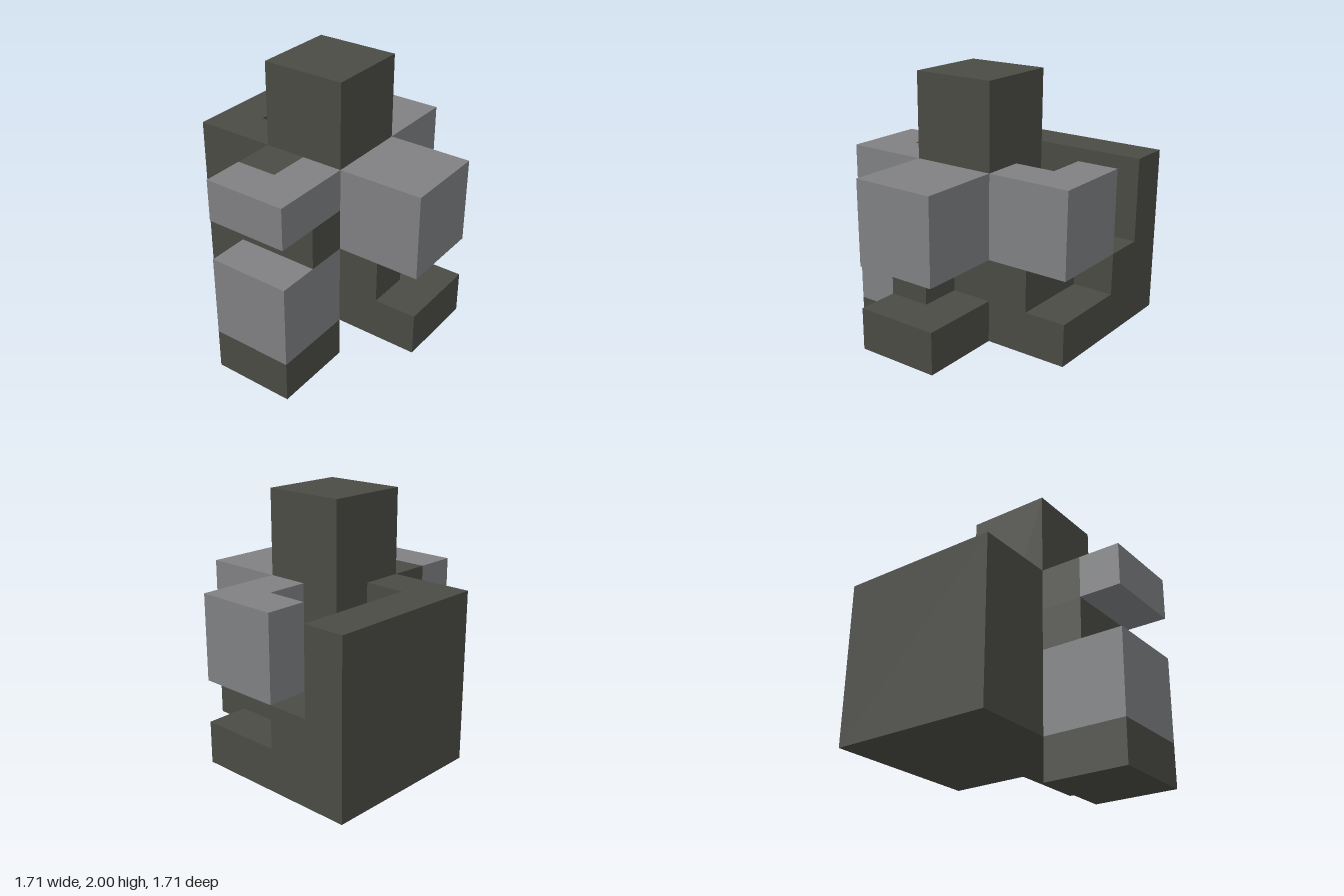
import * as THREE from 'three';

// One grid cell: the model is 6 x 7 x 6 cells
const U = 2 / 7;

export function createModel() {
  const root = new THREE.Group();
  root.name = 'interlockingBlocks';

  const charcoal = new THREE.MeshStandardMaterial({ color: 0x4b4b45 });
  charcoal.name = 'charcoal';
  const grey = new THREE.MeshStandardMaterial({ color: 0x808183 });
  grey.name = 'grey';

  // Box spanning from one grid corner to the opposite one
  function block(parent, name, material, [x0, y0, z0], [x1, y1, z1]) {
    const geometry = new THREE.BoxGeometry((x1 - x0) * U, (y1 - y0) * U, (z1 - z0) * U);
    const mesh = new THREE.Mesh(geometry, material);
    mesh.position.set((x0 + x1) / 2 * U, (y0 + y1) / 2 * U, (z0 + z1) / 2 * U);
    mesh.name = name;
    parent.add(mesh);
  }

  function part(name, material, boxes) {
    const group = new THREE.Group();
    group.name = name;
    boxes.forEach(([a, b], i) => block(group, name + 'Block' + (i + 1), material, a, b));
    root.add(group);
  }

  // Central column with the raised top
  part('column', charcoal, [[[-1, 1, -1], [1, 7, 1]]]);

  // Back wall, its ledge and the steps in front of it
  part('backWall', charcoal, [
    [[-1, 1, -3], [3, 5, -2]],
    [[-1, 1, -2], [3, 3, -1]],
    [[-1, 3, -2], [0, 5, -1]],
    [[0, 3, -2], [2, 4, -1]],
  ]);

  // Left floor, the pier under the left arm, and the floor of its notch
  part('leftBase', charcoal, [
    [[1, 1, -1], [3, 2, 1]],
    [[1, 2, -1], [2, 3, 1]],
    [[1, 3, -1], [2, 4, 0]],
  ]);

  // Left arm, notched at its inner back corner
  part('leftArm', grey, [
    [[2, 3, -1], [3, 5, 1]],
    [[1, 3, 0], [2, 5, 1]],
  ]);

  // Front arm and the stepped foot below it
  part('frontArm', grey, [[[-1, 3, 1], [1, 5, 3]]]);
  part('frontFoot', charcoal, [
    [[-1, 1, 1], [1, 2, 3]],
    [[-1, 2, 1], [0, 3, 2]],
  ]);

  // Right side: foot, leg, connecting post and the slab around it
  part('rightFoot', charcoal, [[[-3, 0, -1], [-1, 1, 1]]]);
  part('rightLeg', grey, [[[-3, 1, -1], [-1, 3, 1]]]);
  part('rightPost', charcoal, [
    [[-2, 3, -1], [-1, 4, 1]],
    [[-2, 4, -1], [-1, 5, 0]],
  ]);
  part('rightSlab', grey, [
    [[-3, 4, -1], [-2, 5, 1]],
    [[-2, 4, 0], [-1, 5, 1]],
  ]);

  return root;
}
